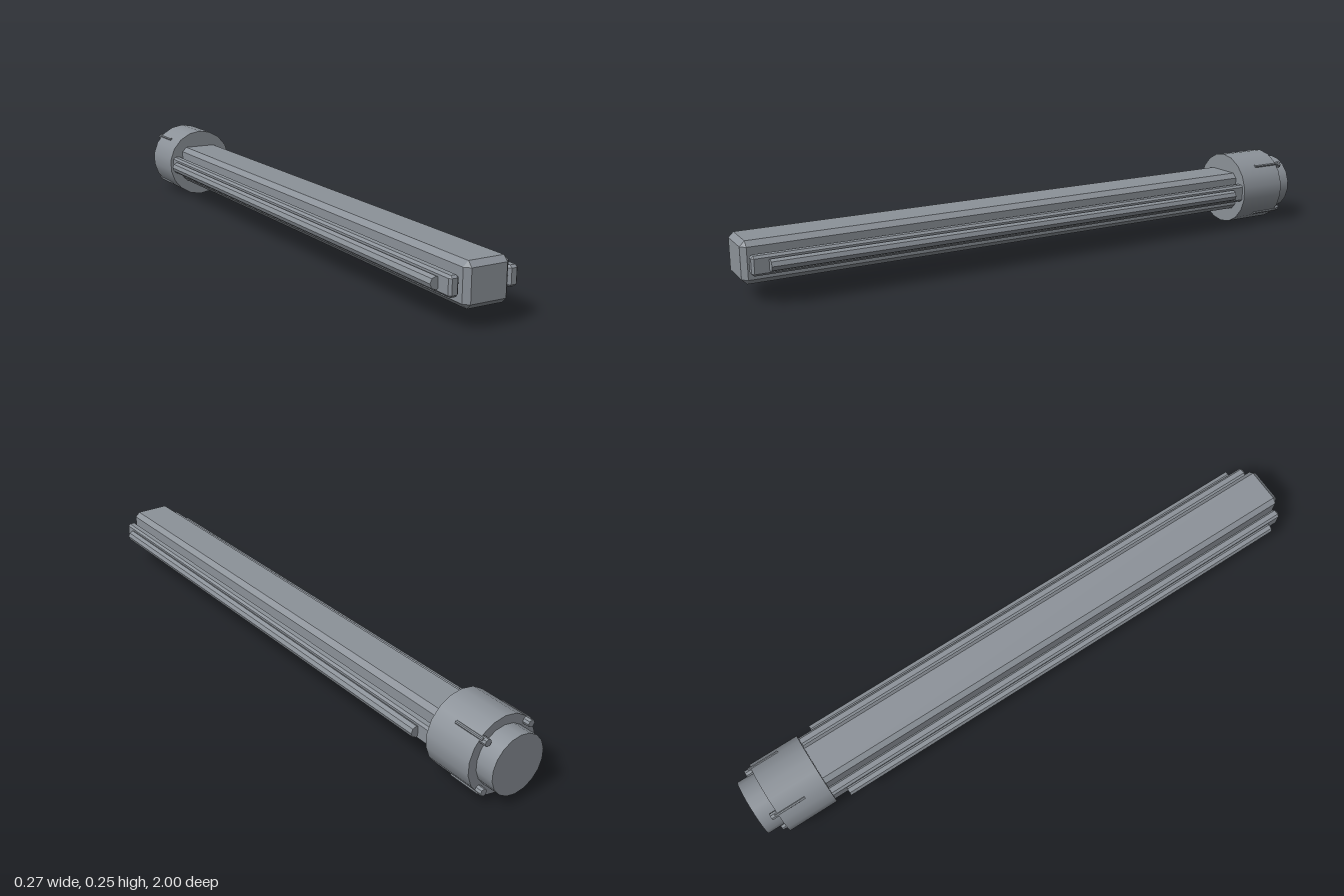
import * as THREE from 'three';
import { ConvexGeometry } from 'three/addons/geometries/ConvexGeometry.js';

const COLOR = 0x8c9299;
const smooth = new THREE.MeshStandardMaterial({ color: COLOR });
const flat = new THREE.MeshStandardMaterial({ color: COLOR, flatShading: true });
const AXIS_Y = 0.123;

// Box with every edge cut by a flat chamfer c
function chamferBox(w, h, d, c) {
  const half = [w / 2, h / 2, d / 2];
  const points = [];
  for (let face = 0; face < 3; face++)
    for (const sx of [-1, 1]) for (const sy of [-1, 1]) for (const sz of [-1, 1]) {
      const p = [sx, sy, sz].map((s, i) => s * (half[i] - (i === face ? 0 : c)));
      points.push(new THREE.Vector3(...p));
    }
  return new ConvexGeometry(points);
}

// Cylinder lying along z between z0 and z1
function zCylinder(radius, z0, z1, sides) {
  return new THREE.CylinderGeometry(radius, radius, z1 - z0, sides)
    .rotateX(Math.PI / 2)
    .translate(0, 0, (z0 + z1) / 2);
}

export function createModel() {
  const model = new THREE.Group();

  function add(name, geometry, material, x = 0, y = AXIS_Y, z = 0, parent = model) {
    const mesh = new THREE.Mesh(geometry, material);
    mesh.name = name;
    mesh.position.set(x, y, z);
    parent.add(mesh);
    return mesh;
  }

  // Long central bar, its rear end buried in the collar
  add('mainBar', chamferBox(0.144, 0.128, 1.8, 0.0155), flat, 0, AXIS_Y, 0.1);

  // Round collar and the end cap behind it
  add('collar', zCylinder(0.1225, -0.94, -0.772, 18), smooth);
  add('endCap', zCylinder(0.094, -1, -0.93, 18), smooth);

  // Side rails with an outer rod on each
  for (const [side, s] of [['left', 1], ['right', -1]]) {
    add(side + 'Rail', chamferBox(0.031, 0.059, 1.78, 0.007), flat, s * 0.0945, AXIS_Y, 0.093);
    add(side + 'Rod', zCylinder(0.0185, -0.725, 0.933, 8), flat, s * 0.116, AXIS_Y);
  }

  // Four diagonal pins along the collar, each with a small bead just behind it
  for (let i = 0; i < 4; i++) {
    const pin = new THREE.Group();
    pin.name = 'lockingPin' + (i + 1);
    pin.position.y = AXIS_Y;
    pin.rotation.z = Math.PI / 4 + i * Math.PI / 2;
    add('pinShaft', zCylinder(0.0055, -0.95, -0.845, 8), flat, 0, 0.1205, 0, pin);
    add('pinBead', zCylinder(0.0115, -0.962, -0.935, 8), flat, 0, 0.112, 0, pin);
    model.add(pin);
  }

  return model;
}
